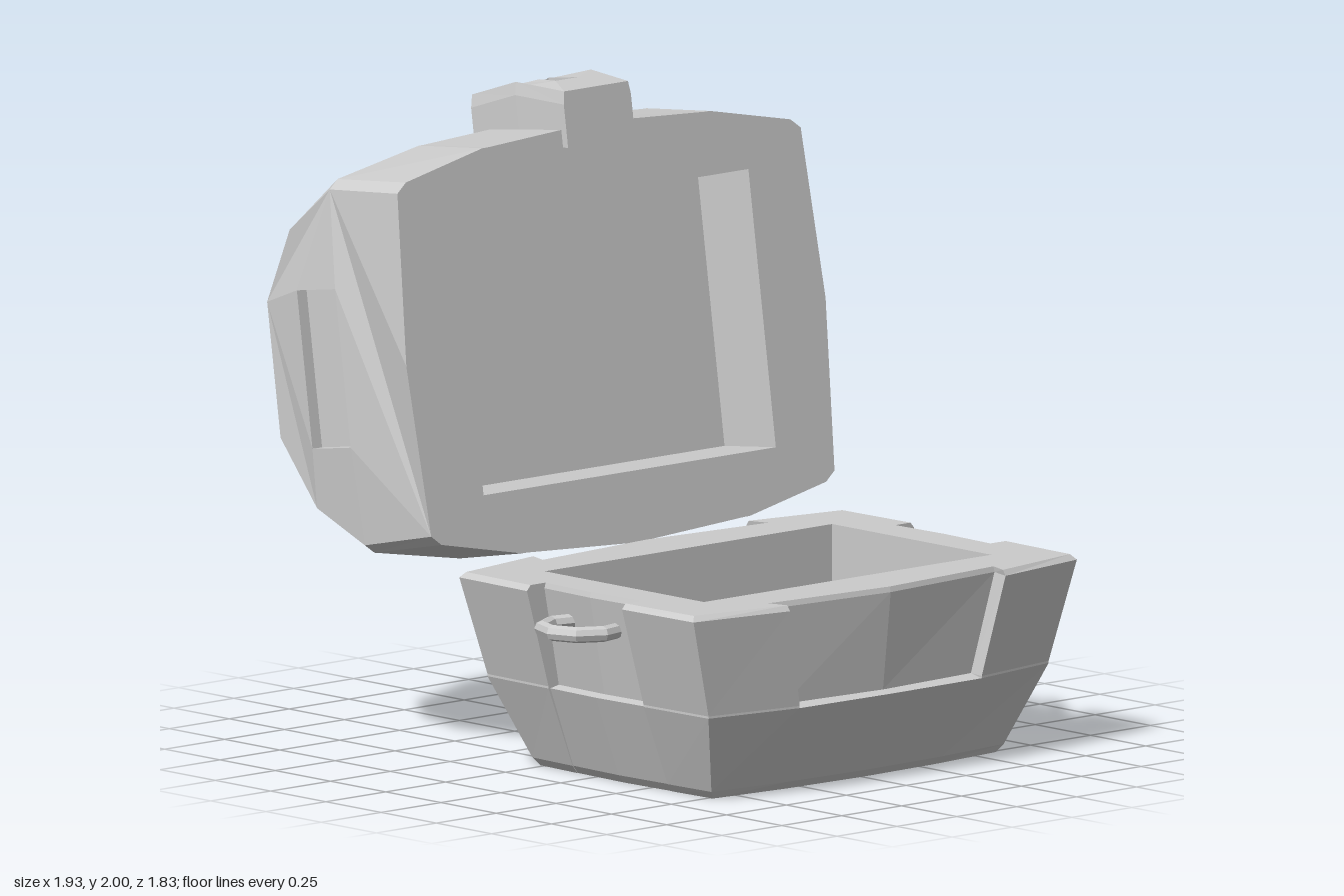
import * as THREE from 'three';

const mat = new THREE.MeshStandardMaterial({ color: 0xcccccc, flatShading: true, side: THREE.DoubleSide });

function add(parent, name, geo) {
  const m = new THREE.Mesh(geo, mat);
  m.name = name;
  parent.add(m);
  return m;
}

// Skin through rings of [x, y, z] points; empty triangles are dropped
function loft(rings, closed) {
  const pos = [];
  const tri = (a, b, c) => {
    const [p, q, r] = [a, b, c].map(k => new THREE.Vector3(...k));
    if (q.clone().sub(p).cross(r.clone().sub(p)).length() > 1e-7) pos.push(...a, ...b, ...c);
  };
  for (let i = 0; i + 1 < rings.length; i++) {
    const r = rings[i], s = rings[i + 1], n = r.length;
    for (let j = 0; j < (closed ? n : n - 1); j++) {
      const k = (j + 1) % n;
      tri(r[j], r[k], s[k]);
      tri(r[j], s[k], s[j]);
    }
  }
  const g = new THREE.BufferGeometry();
  g.setAttribute('position', new THREE.Float32BufferAttribute(pos, 3));
  g.computeVertexNormals();
  return g;
}

const shapeOf = (pts, hole) => {
  const s = new THREE.Shape(pts.map(p => new THREE.Vector2(...p)));
  if (hole) s.holes.push(new THREE.Path(hole.map(p => new THREE.Vector2(...p))));
  return s;
};
const rect = (cx, cy, hx, hy) => [[cx - hx, cy - hy], [cx + hx, cy - hy], [cx + hx, cy + hy], [cx - hx, cy + hy]];

// Move each vertex by a rule that edits a vector in place
function warp(g, rule) {
  const p = g.attributes.position, v = new THREE.Vector3();
  for (let i = 0; i < p.count; i++) {
    rule(v.fromBufferAttribute(p, i));
    p.setXYZ(i, v.x, v.y, v.z);
  }
  g.computeVertexNormals();
  return g;
}

function makeBase() {
  const base = new THREE.Group();
  base.name = 'base';
  base.position.x = 0.375;
  // Plan outline from one quarter: side panel, corner post, end panel
  const outline = ([g, f, e, d, zn]) => {
    const q = [[g, 0], f, e, d, [0.215, d[1] + 0.008], [0.215, zn], [0, zn + 0.008]];
    const half = [...q, ...q.slice(0, -1).reverse().map(([x, z]) => [-x, z])];
    return [...half, ...half.slice(1, -1).reverse().map(([x, z]) => [x, -z])];
  };
  const levels = [
    [0.61, [0.55, [0.51, 0.47], [0.575, 0.45], [0.515, 0.785], 0.73]],
    [0.593, [0.555, [0.515, 0.47], [0.587, 0.45], [0.53, 0.8], 0.735]],
    [0.285, [0.52, [0.495, 0.39], [0.555, 0.38], [0.5, 0.71], 0.675]],
    [0.278, [0.562, [0.555, 0.38], [0.555, 0.38], [0.5, 0.71], 0.71]],
    [0.025, [0.445, [0.435, 0.32], [0.435, 0.32], [0.405, 0.61], 0.615]],
    [0, [0.425, [0.415, 0.31], [0.415, 0.31], [0.39, 0.59], 0.595]],
  ];
  const rings = levels.map(([y, p]) => outline(p).map(([x, z]) => [x, y, z]));
  rings.push(rings[0].map(() => [0, 0, 0]));
  add(base, 'baseShell', loft(rings, true));

  // Rim and storage well
  const well = rect(0, 0, 0.36, 0.6);
  const rim = new THREE.ShapeGeometry(shapeOf(outline(levels[0][1]), well));
  add(base, 'baseRim', rim.rotateX(-Math.PI / 2).translate(0, 0.61, 0));
  const wellRing = y => well.map(([x, z]) => [x, y, -z]);
  add(base, 'baseWell', loft([wellRing(0.61), wellRing(0.07), well.map(() => [0, 0.07, 0])], true));

  // Carrying handles
  for (const s of [1, -1]) {
    const arc = Math.PI * 1.36;
    const h = new THREE.TorusGeometry(0.12, 0.025, 8, 6, arc);
    h.rotateZ(Math.PI / 2 - arc / 2).rotateX(Math.PI / 2);
    const m = add(base, 'handle', h);
    m.position.set(-0.01, 0.5, s * 0.77);
    m.scale.z = s;
    // Rounded handle tips
    for (const e of [-1, 1]) {
      const a = Math.PI / 2 + e * arc / 2;
      const tip = add(base, 'handleTip', new THREE.SphereGeometry(0.025, 8, 6));
      tip.position.set(-0.01 + 0.12 * Math.cos(a), 0.5, s * (0.77 + 0.12 * Math.sin(a)));
    }
  }
  return base;
}

// Lid is built closed (x from hinge to latch, y up), then swung open
function makeLid() {
  const lid = new THREE.Group();
  lid.name = 'lid';
  lid.position.set(-0.22, 0.6, 0);
  lid.rotation.z = THREE.MathUtils.degToRad(98.3);

  const c = 0.645;
  const mid = [[0.65, 0], [0.66, 0.29], [0.48, 0.485], [0.22, 0.635]];
  const end = [[0.53, 0], [0.55, 0.28], [0.43, 0.455], [0.21, 0.585]];
  const bulge = (x, y) => 0.915 - 0.05 * ((x - c) / 0.65) ** 2 - 0.04 * Math.abs(y - 0.42) / 0.42;
  const arch = half => [...half.map(([h, y]) => [c - h, y]), ...half.slice().reverse().map(([h, y]) => [c + h, y])];
  const blend = f => mid.map(([h, y], i) => [h + (end[i][0] - h) * f, y + (end[i][1] - y) * f]);
  const sunk = (f, y2, y3) => {
    const b = blend(f);
    return [b[0], b[1], [0.46, y2], [0.22, y3]];
  };
  const at = (half, z) => arch(half).map(([x, y]) => [x, y, z(x, y)]);

  // Sections from one end to the middle: bevel, end band, sunken centre band
  const sections = [
    at(end, bulge),
    at(blend(0.75), (x, y) => bulge(x, y) - 0.035),
    at(blend(0.2), () => 0.475),
    at(sunk(0.2, 0.375, 0.465), () => 0.455),
    at(sunk(0, 0.43, 0.55), () => 0),
  ];
  const flip = r => r.map(([x, y, z]) => [x, y, -z]);
  add(lid, 'lidShell', loft([...sections, ...sections.slice(0, -1).reverse().map(flip)], false));

  // End panels with a recessed slot
  const slot = rect(c, 0.35, 0.245, 0.08);
  for (const s of [1, -1]) {
    const panel = new THREE.ShapeGeometry(shapeOf([...arch(end), [c, 0]], slot));
    warp(panel, v => { v.z = bulge(v.x, v.y); });
    add(lid, 'endPanel', panel).scale.z = s;
    const ring = d => slot.map(([x, y]) => [x, y, bulge(x, y) - d]);
    add(lid, 'endSlot', loft([ring(0), ring(0.04), slot.map(() => [c, 0.35, 0.86])], true)).scale.z = s;
  }

  // Rim around the opening, and the hollow inside
  const last = sections[0].length - 1;
  const near = sections.map(r => [r[0][0], r[0][2]]);
  const far = sections.map(r => [r[last][0], r[last][2]]);
  const front = [...near.slice().reverse(), [c, bulge(c, 0)], ...far];
  const back = front.slice(1, -1).reverse().map(([x, z]) => [x, -z]);
  const well = rect(c, 0, 0.43, 0.61);
  add(lid, 'lidRim', new THREE.ShapeGeometry(shapeOf([...front, ...back], well)).rotateX(Math.PI / 2));
  const wellRing = (y, k) => well.map(([x, z]) => [c + (x - c) * k, y, z * k]);
  add(lid, 'lidWell', loft([wellRing(0, 1), wellRing(0.22, 0.98), well.map(() => [c, 0.22, 0])], true));

  // Latch block, ridged on top, with a keyhole
  const plan = k => [[-0.02, -0.14 * k], [0.17, -0.165 * k], [0.36, -0.18 * k], [0.36, 0.18 * k], [0.17, 0.165 * k], [-0.02, 0.14 * k]];
  const keyhole = [[0.28, -0.02], [0.28, 0.02], [0.25, 0.045], [0.215, 0.02],
    [0.11, 0.05], [0.11, -0.05], [0.215, -0.02], [0.25, -0.045]];
  const basis = new THREE.Matrix4().makeBasis(
    new THREE.Vector3(0, 1, 0), new THREE.Vector3(0, 0, 1), new THREE.Vector3(1, 0, 0));
  const block = (name, x0, x1, hole) => {
    const g = new THREE.ExtrudeGeometry(shapeOf(plan(1), hole), { depth: x1 - x0, bevelEnabled: false });
    g.applyMatrix4(basis).translate(x0, 0, 0);
    add(lid, name, warp(g, v => {
      if (v.x > 1.43) v.z *= 0.95;
      v.x -= 0.035 * Math.abs(v.y - 0.17) / 0.19;
    }));
  };
  block('latchBody', 1.265, 1.4);
  block('latchCap', 1.4, 1.44, keyhole);
  return lid;
}

export function createModel() {
  const model = new THREE.Group();
  model.name = 'openChest';
  model.add(makeBase(), makeLid());
  return model;
}
